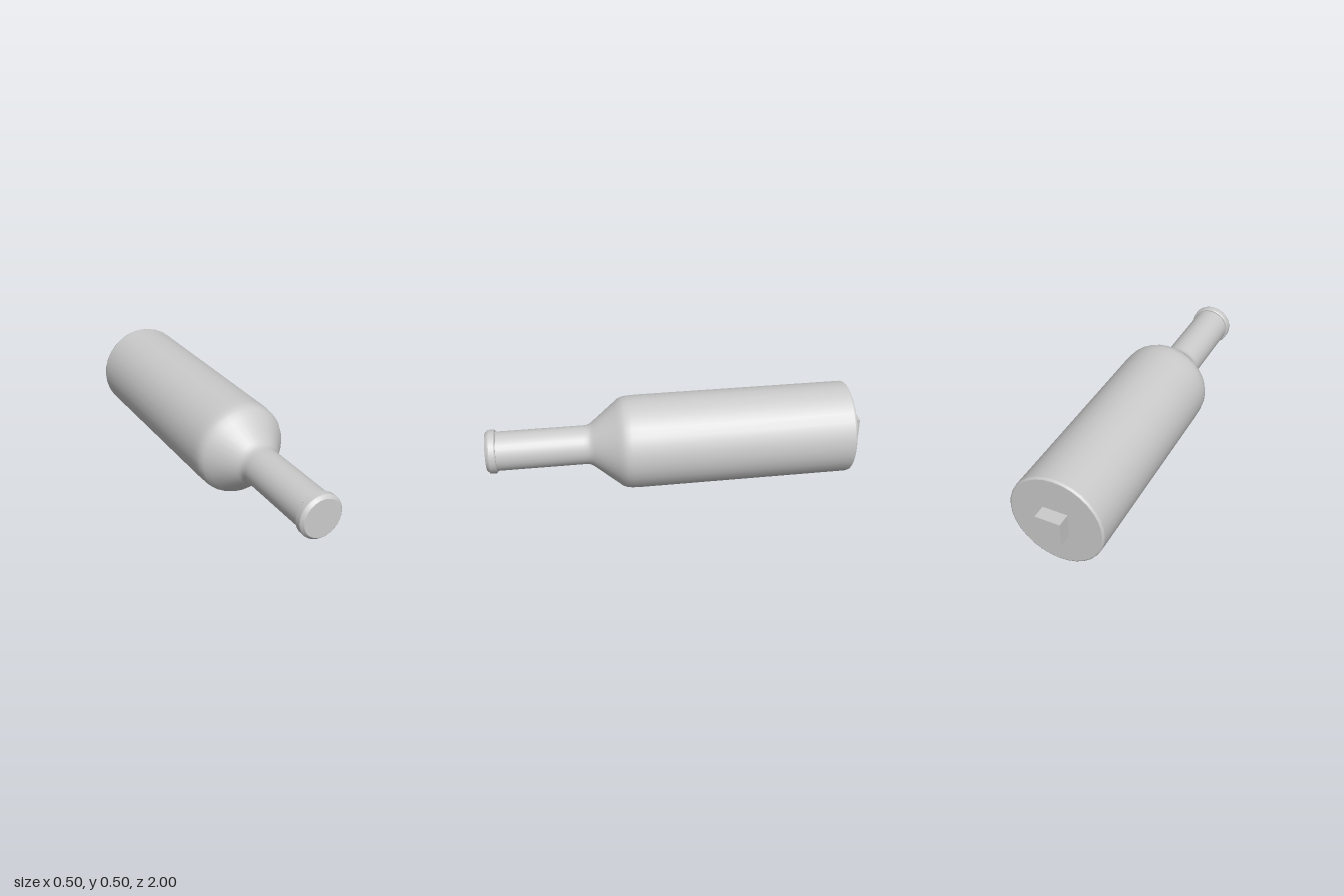
import * as THREE from 'three';

const material = new THREE.MeshStandardMaterial({ color: 0xcccccc });
const AXIS_Y = 0.25;

// Revolves [radius, z] pairs (back to front) around the long axis.
function revolve(name, profile) {
  const points = profile.map(([r, z]) => new THREE.Vector2(r, z));
  const geometry = new THREE.LatheGeometry(points, 32);
  geometry.rotateX(Math.PI / 2);
  const mesh = new THREE.Mesh(geometry, material);
  mesh.name = name;
  mesh.position.y = AXIS_Y;
  return mesh;
}

export function createModel() {
  const group = new THREE.Group();
  group.name = 'bottle';

  // Flat base, straight wall, sloping shoulder and neck; repeated points keep creases sharp
  group.add(revolve('bottleBody', [
    [0, -0.93], [0.239, -0.93], [0.239, -0.93],
    [0.245, -0.927], [0.2475, -0.918], [0.2475, -0.918],
    [0.2475, 0.2], [0.246, 0.25], [0.242, 0.278], [0.231, 0.302],
    [0.212, 0.325], [0.12, 0.441], [0.109, 0.457], [0.104, 0.472], [0.103, 0.49],
    [0.103, 0.49], [0.103, 0.96],
  ]));

  // Rounded lip with the closed mouth
  group.add(revolve('neckLip', [
    [0.1, 0.947], [0.11, 0.947], [0.11, 0.947], [0.115, 0.952], [0.115, 0.952],
    [0.115, 0.98], [0.115, 0.98], [0.113, 0.987], [0.107, 0.991], [0.105, 0.996],
    [0.1, 1.0], [0.1, 1.0], [0, 1.0],
  ]));

  // Square peg on the base
  const peg = new THREE.Mesh(new THREE.BoxGeometry(0.13, 0.13, 0.09), material);
  peg.name = 'basePeg';
  peg.position.set(0, AXIS_Y, -0.955);
  group.add(peg);

  return group;
}
